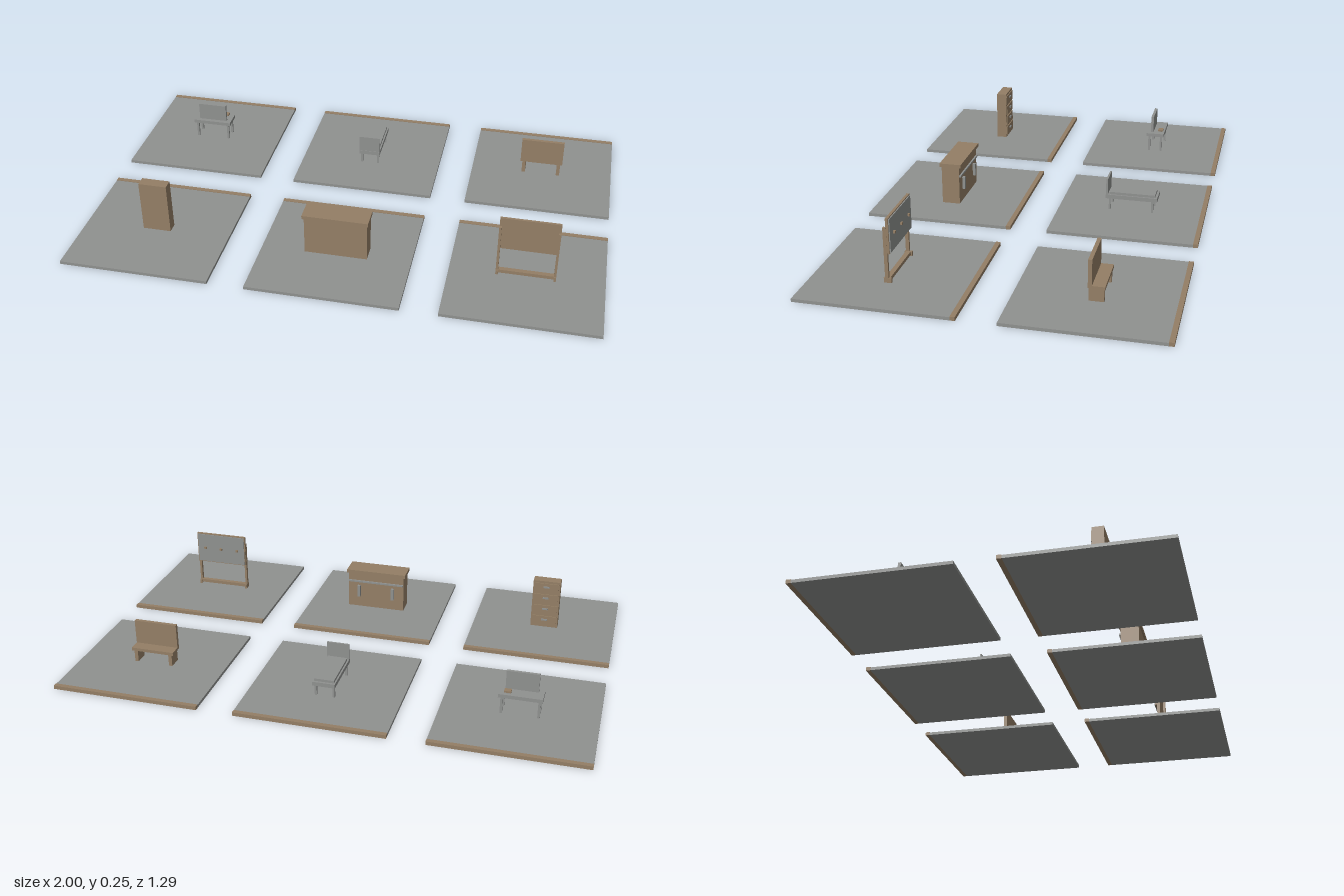
import * as THREE from 'three';

export function createModel() {
  const model = new THREE.Group();
  const mat = (name, color) => {
    const m = new THREE.MeshStandardMaterial({ color });
    m.name = name;
    return m;
  };
  const grey = mat('grey', 0x8f918f);
  const wood = mat('wood brown', 0x937e65);

  // A named group for each piece of furniture
  const piece = (name) => {
    const g = new THREE.Group();
    g.name = name;
    model.add(g);
    return g;
  };
  // Box given by its limits on each axis
  const box = (parent, name, material, [x0, x1], [y0, y1], [z0, z1]) => {
    const mesh = new THREE.Mesh(new THREE.BoxGeometry(x1 - x0, y1 - y0, z1 - z0), material);
    mesh.position.set((x0 + x1) / 2, (y0 + y1) / 2, (z0 + z1) / 2);
    mesh.name = name;
    parent.add(mesh);
    return mesh;
  };
  // Span of a given width around a centre
  const around = (c, w) => [c - w / 2, c + w / 2];
  const floorY = 0.012;

  // Six floor tiles, each with a wooden strip along the back edge
  for (const cx of [-0.7135, 0, 0.7135]) {
    for (const cz of [-0.357, 0.357]) {
      const tile = piece('floorTile');
      const back = cz - 0.2865;
      box(tile, 'floor', grey, around(cx, 0.573), [0, floorY], [back + 0.018, cz + 0.2865]);
      box(tile, 'backStrip', wood, around(cx, 0.573), [0, 0.014], [back, back + 0.018]);
    }
  }

  // Chest of drawers, drawers towards the back
  const chest = piece('drawerChest');
  box(chest, 'chestBody', wood, [-0.77, -0.66], [floorY, 0.217], [0.336, 0.378]);
  for (let i = 0; i < 4; i++) {
    const y = 0.04 + i * 0.049;
    box(chest, 'drawerFront', wood, [-0.764, -0.666], around(y, 0.042), [0.332, 0.336]);
    box(chest, 'drawerHandle', grey, around(-0.715, 0.024), around(y + 0.006, 0.006), [0.327, 0.332]);
  }

  // Sideboard with overhanging top and two doors
  const sideboard = piece('sideboard');
  box(sideboard, 'sideboardBody', wood, [-0.12, 0.12], [floorY, 0.166], [0.322, 0.393]);
  box(sideboard, 'sideboardTop', wood, [-0.127, 0.125], [0.166, 0.18], [0.313, 0.4]);
  box(sideboard, 'trimRail', grey, [-0.118, 0.118], [0.125, 0.132], [0.315, 0.322]);
  for (const x of [-0.073, 0.073]) {
    box(sideboard, 'doorHandle', grey, around(x, 0.012), [0.06, 0.11], [0.311, 0.322]);
  }

  // Standing board with pegs on its grey side
  const board = piece('standingBoard');
  box(board, 'boardPanel', wood, [0.6, 0.82], [0.122, 0.255], [0.354, 0.364]);
  box(board, 'boardFace', grey, [0.604, 0.816], [0.126, 0.251], [0.35, 0.354]);
  for (const x of [0.604, 0.816]) {
    box(board, 'post', wood, around(x, 0.009), [floorY, 0.22], [0.362, 0.375]);
    box(board, 'foot', wood, around(x, 0.009), [floorY, 0.03], [0.352, 0.38]);
  }
  box(board, 'lowerRail', wood, [0.608, 0.812], [0.018, 0.031], [0.357, 0.375]);
  for (const x of [0.636, 0.71, 0.782]) {
    box(board, 'peg', wood, around(x, 0.01), around(0.19, 0.009), [0.343, 0.35]);
  }

  // Bench with a tall backrest on the front side
  const bench = piece('bench');
  box(bench, 'backrest', wood, [0.625, 0.797], [0.064, 0.168], [-0.342, -0.328]);
  box(bench, 'benchSeat', wood, [0.625, 0.797], [0.06, 0.072], [-0.387, -0.342]);
  for (const x of [0.64, 0.782]) {
    box(bench, 'benchLeg', wood, around(x, 0.014), [floorY, 0.062], [-0.383, -0.33]);
  }

  // Bed with headboard
  const bed = piece('bed');
  box(bed, 'bedFrame', grey, [-0.046, 0.041], [0.059, 0.075], [-0.457, -0.253]);
  box(bed, 'mattress', grey, [-0.04, 0.035], [0.075, 0.085], [-0.448, -0.268]);
  box(bed, 'headboard', grey, [-0.046, 0.041], [0.075, 0.14], [-0.262, -0.255]);
  for (const x of [-0.037, 0.032]) {
    for (const z of [-0.27, -0.438]) {
      box(bed, 'bedLeg', grey, around(x, 0.008), [floorY, 0.06], around(z, 0.008));
    }
  }

  // Desk with upright screen and a small raised tray
  const desk = piece('desk');
  box(desk, 'deskTop', grey, [-0.796, -0.635], [0.08, 0.094], [-0.394, -0.318]);
  for (const x of [-0.784, -0.648]) {
    for (const z of [-0.33, -0.382]) {
      box(desk, 'deskLeg', grey, around(x, 0.009), [floorY, 0.08], around(z, 0.009));
    }
  }
  box(desk, 'screen', grey, [-0.775, -0.655], [0.094, 0.166], [-0.346, -0.335]);
  box(desk, 'tray', wood, [-0.681, -0.655], [0.1, 0.107], [-0.388, -0.367]);
  box(desk, 'trayStem', grey, around(-0.668, 0.008), [0.094, 0.1], around(-0.378, 0.008));

  return model;
}
